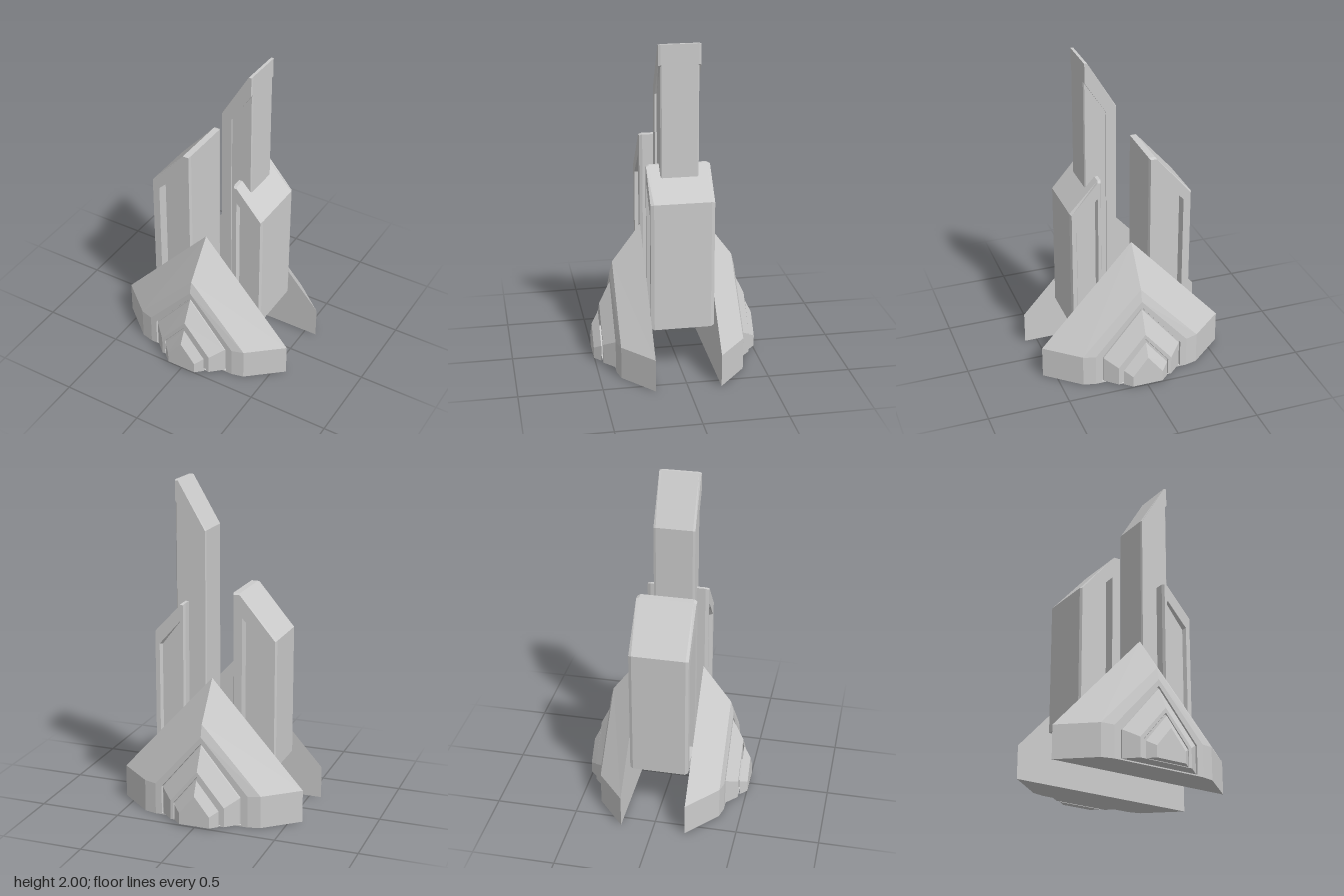
import * as THREE from 'three';

const material = new THREE.MeshStandardMaterial({ color: 0xcccccc, flatShading: true });

// Solid through matching outlines; each ring is [points, z], z order may fold back for recesses.
function loft(name, rings) {
  const flip = THREE.ShapeUtils.area(rings[0][0].map(p => new THREE.Vector2(...p))) < 0;
  const loops = rings.map(([pts, z]) => {
    const loop = pts.map(([x, y]) => new THREE.Vector3(x, y, z));
    return flip ? loop.reverse() : loop;
  });
  const out = [];
  const tri = (...v) => v.forEach(p => out.push(p.x, p.y, p.z));
  for (let r = 0; r < loops.length - 1; r++) {
    const a = loops[r], b = loops[r + 1], n = a.length;
    for (let i = 0; i < n; i++) {
      const j = (i + 1) % n;
      tri(a[i], a[j], b[j]);
      tri(a[i], b[j], b[i]);
    }
  }
  const cap = (loop, back) => {
    const flat = loop.map(p => new THREE.Vector2(p.x, p.y));
    for (const [i, j, k] of THREE.ShapeUtils.triangulateShape(flat, [])) {
      if (back) tri(loop[k], loop[j], loop[i]);
      else tri(loop[i], loop[j], loop[k]);
    }
  };
  cap(loops[0], true);
  cap(loops[loops.length - 1], false);
  const geometry = new THREE.BufferGeometry();
  geometry.setAttribute('position', new THREE.Float32BufferAttribute(out, 3));
  geometry.computeVertexNormals();
  const mesh = new THREE.Mesh(geometry, material);
  mesh.name = name;
  return mesh;
}

// Shrinks an outline by d on every side of its bounding box.
function inset(pts, d) {
  const fit = k => {
    const v = pts.map(p => p[k]);
    const lo = Math.min(...v), hi = Math.max(...v), c = (lo + hi) / 2;
    return x => c + (x - c) * (1 - 2 * d / (hi - lo));
  };
  const fx = fit(0), fy = fit(1);
  return pts.map(([x, y]) => [fx(x), fy(y)]);
}

// Bevelled slab, with an optional recessed panel on both faces.
function slab(name, outline, half, bevel, edge, panel, depth, taper = 0) {
  const front = [[outline, half - bevel], [inset(outline, edge), half]];
  if (panel) front.push([panel, half], [inset(panel, taper), half - depth]);
  const back = front.map(([p, z]) => [p, -z]).reverse();
  return loft(name, [...back, ...front]);
}

// House-shaped outline: half width, shoulder height, apex height, base height.
const gable = (w, s, top, y = 0) => [[-w, y], [w, y], [w, s], [0, top], [-w, s]];

function buttress(name) {
  const group = new THREE.Group();
  group.name = name;
  group.add(
    loft('buttressBody', [
      [gable(0.575, 0.2, 0.84), 0.197],
      [gable(0.37, 0.2, 0.605), 0.372],
      [gable(0.295, 0.195, 0.53), 0.39],
      [gable(0.255, 0.18, 0.49, 0.008), 0.39],
      [gable(0.252, 0.18, 0.485, 0.01), 0.375],
    ]),
    loft('middleStep', [
      [gable(0.245, 0.178, 0.475, 0.01), 0.37],
      [gable(0.245, 0.178, 0.475, 0.01), 0.388],
      [gable(0.17, 0.13, 0.335, 0.01), 0.456],
      [gable(0.15, 0.12, 0.305, 0.015), 0.456],
      [gable(0.147, 0.118, 0.3, 0.015), 0.447],
    ]),
    loft('stepCore', [
      [gable(0.08, 0.075, 0.18, 0.02), 0.44],
      [gable(0.08, 0.075, 0.18, 0.02), 0.47],
    ]),
    loft('frontStep', [
      [gable(0.14, 0.11, 0.285, 0.01), 0.464],
      [gable(0.095, 0.08, 0.2, 0.01), 0.505],
    ]),
  );
  return group;
}

export function createModel() {
  const model = new THREE.Group();
  model.name = 'spireMonument';

  // Mid-height tower with deep panels
  model.add(slab('mediumTower',
    [[-0.393, 0.3], [-0.393, 1.1], [-0.16, 1.365], [-0.12, 1.365], [-0.12, 0.3]], 0.179, 0.018, 0.008,
    [[-0.34, 0.36], [-0.34, 1.06], [-0.18, 1.22], [-0.18, 1.2], [-0.18, 0.36]], 0.07));

  // Short tower with shallow, sloped panels
  model.add(slab('shortTower',
    [[0.18, 0.3], [0.18, 1.275], [0.2, 1.275], [0.375, 1.087], [0.375, 0.3]], 0.19, 0.02, 0.008,
    [[0.205, 0.36], [0.205, 1.15], [0.208, 1.165], [0.34, 1.015], [0.34, 0.36]], 0.025, 0.01));

  // Tall tower: core slab wrapped by a raised rim, open along one side
  model.add(slab('tallTowerCore',
    [[0.075, 0.3], [0.075, 1.7], [0.24, 1.98], [0.26, 1.98], [0.26, 0.3]], 0.113, 0.008, 0.006));
  model.add(slab('tallTowerRim',
    [[0.066, 0.3], [0.066, 1.71], [0.243, 2], [0.26, 2], [0.26, 1.88], [0.13, 1.685], [0.13, 0.3]],
    0.125, 0.014, 0.004));

  // Stepped buttresses, front and back
  const front = buttress('frontButtress');
  const back = buttress('backButtress');
  back.rotation.y = Math.PI;
  model.add(front, back);
  return model;
}
